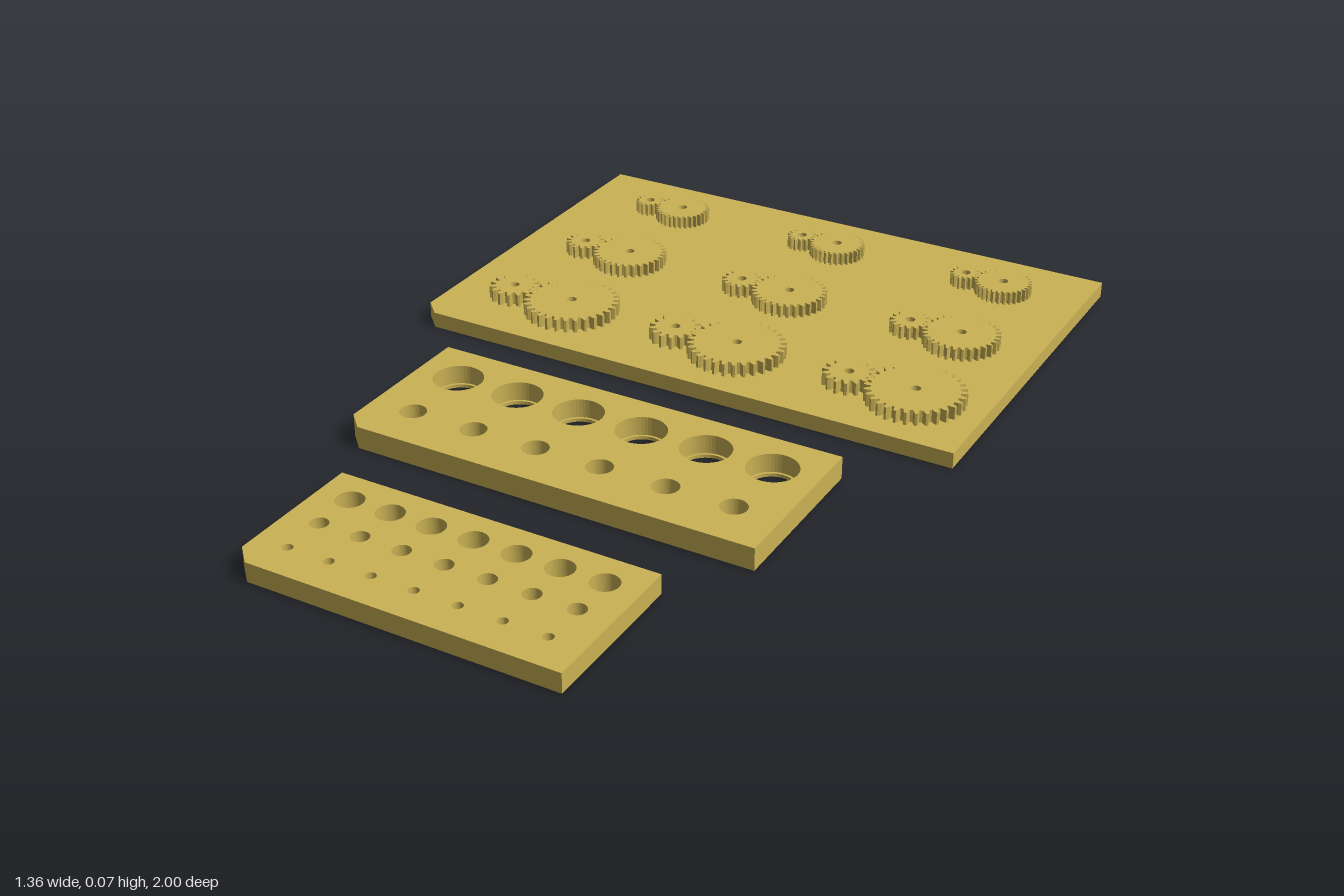
import * as THREE from 'three';

const material = new THREE.MeshStandardMaterial({ color: 0xcbb255 });

// Circular hole, in plan coordinates (x, z)
function hole([x, z, r]) {
  const path = new THREE.Path();
  path.absarc(x, -z, r, 0, Math.PI * 2, true);
  return path;
}

// Extrude a plan outline upwards from y
function slab(name, outline, holes, y, height) {
  const shape = new THREE.Shape(outline.map(([x, z]) => new THREE.Vector2(x, -z)));
  shape.holes = holes.map(hole);
  const geometry = new THREE.ExtrudeGeometry(shape, { depth: height, bevelEnabled: false, curveSegments: 24 });
  geometry.rotateX(-Math.PI / 2);
  geometry.translate(0, y, 0);
  const mesh = new THREE.Mesh(geometry, material);
  mesh.name = name;
  return mesh;
}

// Rectangle with its front right corner cut off
function plateOutline(x0, x1, z0, z1, cut = 0.04) {
  return [[x0 + cut, z1], [x1, z1], [x1, z0], [x0, z0], [x0, z1 - cut]];
}

// Spur gear outline with tapered teeth; phase is in tooth pitches
function gearOutline(cx, cz, teeth, module, phase) {
  const pitchR = teeth * module / 2;
  const profile = [
    [-0.34, pitchR - 1.2 * module], [-0.25, pitchR],
    [-0.12, pitchR + module], [0.12, pitchR + module],
    [0.25, pitchR], [0.34, pitchR - 1.2 * module],
  ];
  const points = [];
  for (let i = 0; i < teeth; i++) {
    for (const [offset, r] of profile) {
      const a = (i + phase + offset) / teeth * Math.PI * 2;
      points.push([cx + r * Math.cos(a), cz - r * Math.sin(a)]);
    }
  }
  return points;
}

export function createModel() {
  const model = new THREE.Group();
  model.name = 'testPlates';

  // Gear plate: three rows of meshing pairs, one tooth size per row
  const bore = 0.0115;
  const gearPlate = new THREE.Group();
  gearPlate.name = 'gearPlate';
  const bores = [];
  const rows = [
    { z: -0.832, module: 0.0043, small: -0.491 },
    { z: -0.534, module: 0.00567, small: -0.507 },
    { z: -0.235, module: 0.00713, small: -0.524 },
  ];
  for (const { z, module, small } of rows) {
    for (let i = 0; i < 3; i++) {
      const x = small + i * 0.441;
      const bigX = x + module * 22.5;
      const pair = new THREE.Group();
      pair.name = 'gearPair';
      pair.add(
        slab('smallGear', gearOutline(x, z, 15, module, 0), [[x, z, bore]], 0.037, 0.03),
        slab('largeGear', gearOutline(bigX, z, 30, module, 0.5), [[bigX, z, bore]], 0.037, 0.03),
      );
      gearPlate.add(pair);
      bores.push([x, z, bore], [bigX, z, bore]);
    }
  }
  gearPlate.add(slab('gearBase', plateOutline(-0.68, 0.68, -1, -0.064), bores, 0, 0.037));

  // Socket plate: two rows of pockets, each with a thin lip at the bottom
  const socketPlate = new THREE.Group();
  socketPlate.name = 'socketPlate';
  const pockets = [], lips = [];
  for (let i = 0; i < 6; i++) {
    const x = -0.392 + i * 0.156;
    pockets.push([x, 0.198, 0.057], [x, 0.37, 0.03]);
    lips.push([x, 0.198, 0.051], [x, 0.37, 0.024]);
  }
  const socketOutline = plateOutline(-0.496, 0.494, 0.087, 0.484);
  socketPlate.add(
    slab('socketLips', socketOutline, lips, 0, 0.008),
    slab('socketBody', socketOutline, pockets, 0.008, 0.044),
  );

  // Hole plate: three rows of plain holes
  const holes = [];
  for (let i = 0; i < 7; i++) {
    const x = -0.3 + i * 0.0995;
    holes.push([x, 0.718, 0.031], [x, 0.818, 0.02], [x, 0.918, 0.0115]);
  }
  const holePlate = slab('holePlate', plateOutline(-0.378, 0.376, 0.641, 1), holes, 0, 0.045);

  model.add(gearPlate, socketPlate, holePlate);
  return model;
}
